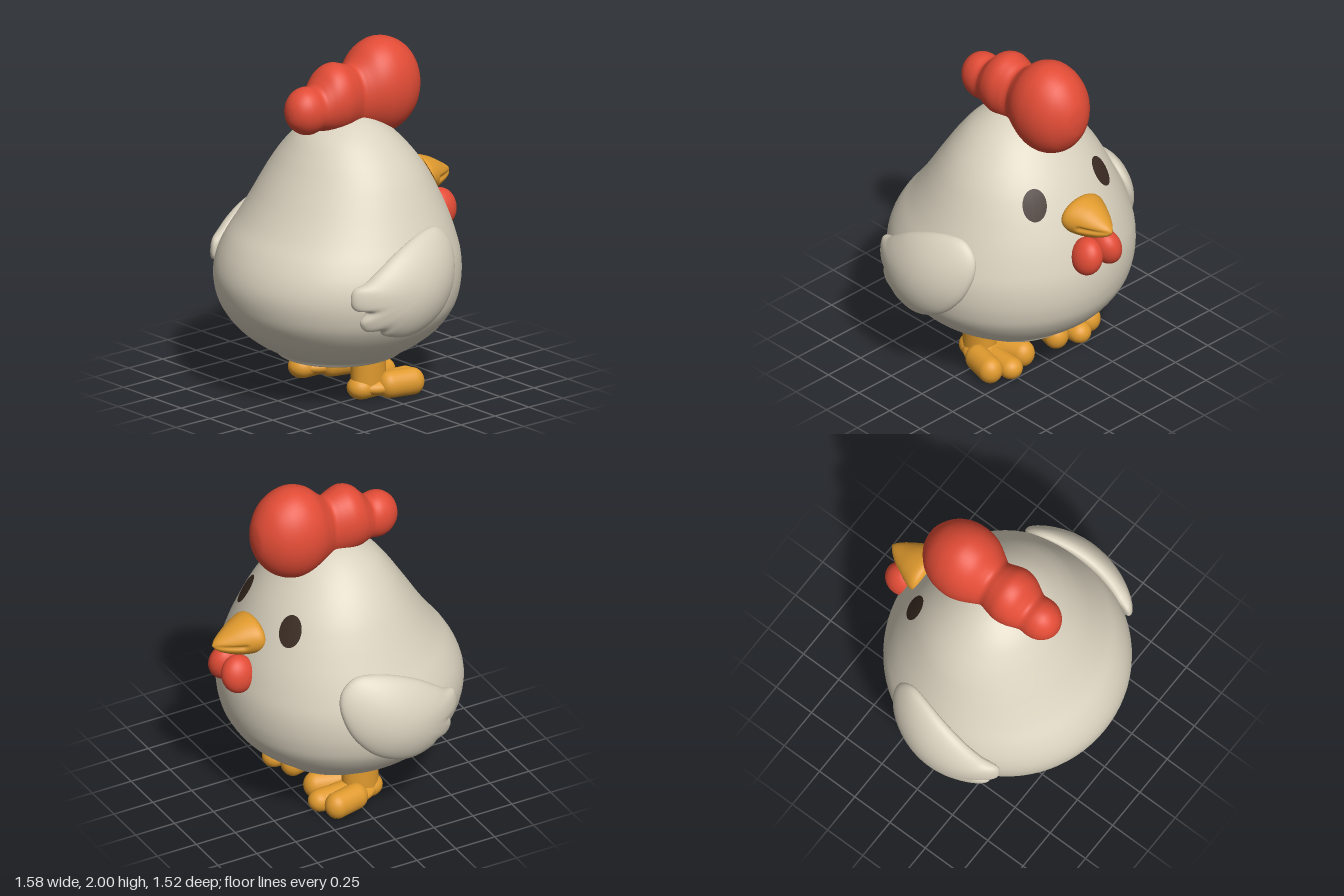
import * as THREE from 'three';
import { mergeVertices } from 'three/addons/utils/BufferGeometryUtils.js';

const V = (x, y, z) => new THREE.Vector3(x, y, z);
const paint = (name, color) => {
  const m = new THREE.MeshStandardMaterial({ color });
  m.name = name;
  return m;
};

// Weld seams and recompute smooth normals
function smooth(geo) {
  geo.deleteAttribute('uv');
  geo.deleteAttribute('normal');
  const g = mergeVertices(geo, 1e-5);
  g.computeVertexNormals();
  return g;
}

// Move every vertex by a rule
function warp(geo, rule) {
  const p = geo.attributes.position;
  const v = V(0, 0, 0);
  for (let i = 0; i < p.count; i++) {
    v.fromBufferAttribute(p, i);
    rule(v, i);
    p.setXYZ(i, v.x, v.y, v.z);
  }
  return geo;
}

// Mirrored copy across x = 0, with the corner order reversed
function mirror(geo) {
  const g = geo.clone().scale(-1, 1, 1);
  const ix = g.index.array;
  for (let i = 0; i < ix.length; i += 3) [ix[i], ix[i + 1]] = [ix[i + 1], ix[i]];
  g.computeVertexNormals();
  return g;
}

// Oval loft along y; each section is [y, half width, lowest z, highest z]
function loft(sections, steps, sides) {
  const outline = new THREE.CatmullRomCurve3(sections.map(([y, r]) => V(r, y, 0)), false, 'catmullrom', 0.5);
  const depth = new THREE.CatmullRomCurve3(sections.map(([, , a, b]) => V(a, b, 0)), false, 'catmullrom', 0.5);
  const pts = [], zs = [];
  for (let i = 0; i <= steps; i++) {
    const p = outline.getPoint(i / steps);
    pts.push(new THREE.Vector2(Math.max(p.x, 0), p.y));
    zs.push(depth.getPoint(i / steps));
  }
  const geo = new THREE.LatheGeometry(pts, sides);
  return warp(geo, (v, i) => {
    const j = i % pts.length, r = pts[j].x, { x: a, y: b } = zs[j];
    v.z = (a + b) / 2 + (r > 1e-6 ? (v.z / r) * (b - a) / 2 : 0);
  });
}

export function createModel() {
  const root = new THREE.Group();
  root.name = 'hen';
  const cream = paint('cream feathers', 0xdad2bf);
  const red = paint('red comb', 0xe24c36);
  const orange = paint('orange beak and feet', 0xe09a2e);
  const brown = paint('dark brown eyes', 0x3a2b22);

  const add = (name, geo, mat) => {
    const mesh = new THREE.Mesh(geo, mat);
    mesh.name = name;
    root.add(mesh);
    return mesh;
  };
  const addPair = (name, geo, mat) => {
    add('left' + name, geo, mat);
    add('right' + name, mirror(geo), mat);
  };
  const ball = (rx, ry, rz) => smooth(new THREE.SphereGeometry(1, 40, 28).scale(rx, ry, rz));

  // Pear-shaped body
  const body = add('body', smooth(loft([
    [0.2, 0, 0.05, 0.05], [0.205, 0.2, -0.16, 0.26], [0.215, 0.33, -0.3, 0.395],
    [0.245, 0.37, -0.33, 0.425], [0.3, 0.47, -0.41, 0.525], [0.39, 0.58, -0.52, 0.635],
    [0.5, 0.66, -0.595, 0.715], [0.6, 0.692, -0.626, 0.75], [0.7, 0.7, -0.636, 0.758],
    [0.8, 0.687, -0.63, 0.733], [0.9, 0.652, -0.607, 0.68], [1.0, 0.607, -0.575, 0.603],
    [1.1, 0.56, -0.533, 0.535], [1.2, 0.512, -0.484, 0.473], [1.3, 0.458, -0.425, 0.41],
    [1.4, 0.385, -0.35, 0.345], [1.5, 0.285, -0.255, 0.265], [1.57, 0.18, -0.155, 0.16],
    [1.605, 0.07, -0.06, 0.06], [1.61, 0, 0, 0],
  ], 100, 80)), cream);

  // Comb: one soft loft with three lobes, shrinking toward the back
  add('comb', smooth(loft([
    [-0.418, 0, 1.67, 1.67], [-0.41, 0.04, 1.62, 1.72], [-0.385, 0.08, 1.58, 1.765],
    [-0.34, 0.11, 1.545, 1.8], [-0.288, 0.12, 1.532, 1.81], [-0.235, 0.118, 1.54, 1.802],
    [-0.2, 0.132, 1.535, 1.835], [-0.15, 0.155, 1.52, 1.888], [-0.085, 0.165, 1.51, 1.91],
    [-0.02, 0.151, 1.51, 1.893], [0.03, 0.138, 1.51, 1.877], [0.07, 0.158, 1.5, 1.903],
    [0.13, 0.192, 1.475, 1.96], [0.19, 0.211, 1.45, 1.99], [0.25, 0.215, 1.44, 2.0],
    [0.32, 0.206, 1.455, 1.985], [0.39, 0.175, 1.495, 1.945], [0.44, 0.13, 1.55, 1.89],
    [0.475, 0.08, 1.615, 1.825], [0.487, 0.04, 1.67, 1.77], [0.491, 0, 1.72, 1.72],
  ], 100, 48).rotateX(-Math.PI / 2)), red);

  // Beak, lofted forward with a mouth crease along both sides
  const beak = loft([
    [0.45, 0, 1.13, 1.13], [0.48, 0.12, 1.05, 1.21], [0.52, 0.147, 1.025, 1.24],
    [0.6, 0.117, 1.026, 1.22], [0.68, 0.074, 1.05, 1.176], [0.735, 0.034, 1.08, 1.14],
    [0.76, 0, 1.112, 1.112],
  ], 40, 64).rotateX(-Math.PI / 2);
  warp(beak, (v) => {
    const off = (v.y - 1.112) / 0.012;
    if (v.z < -0.6) v.x *= 1 - 0.16 * Math.exp(-off * off);
  });
  add('beak', smooth(beak), orange);

  // Wattles under the beak
  addPair('Wattle', ball(0.08, 0.112, 0.1).rotateZ(0.25).translate(0.074, 0.93, -0.633), red);

  // Eyes: thin oval patches laid onto the body surface
  const normal = V(0.57, 0.48, -0.84).normalize();
  const sideways = V(0, 1, 0).cross(normal).normalize();
  const upward = normal.clone().cross(sideways);
  const ray = new THREE.Raycaster();
  body.updateMatrixWorld(true);
  const eye = warp(new THREE.RingGeometry(0.001, 1, 36, 5), (v) => {
    const start = V(0.257, 1.24, -0.4).addScaledVector(sideways, v.x * 0.07)
      .addScaledVector(upward, v.y * 0.094).addScaledVector(normal, 0.4);
    ray.set(start, normal.clone().negate());
    const hit = ray.intersectObject(body)[0];
    v.copy(hit ? hit.point : start.addScaledVector(normal, -0.4)).addScaledVector(normal, 0.006);
  });
  addPair('Eye', smooth(eye), brown);

  // Wings: a scalloped outline [z, y] puffed out and curved around the body
  const outline = new THREE.CatmullRomCurve3([
    [0.47, 0.72], [0.455, 0.79], [0.385, 0.825], [0.32, 0.875], [0.2, 0.955], [0.06, 1.015],
    [-0.07, 1.043], [-0.17, 1.035], [-0.245, 0.97], [-0.27, 0.88], [-0.25, 0.77], [-0.2, 0.67],
    [-0.1, 0.565], [0.04, 0.495], [0.16, 0.477], [0.28, 0.505], [0.31, 0.54], [0.39, 0.545],
    [0.42, 0.6], [0.385, 0.66], [0.45, 0.675],
  ].map(([z, y]) => V(0, y, z)), true, 'catmullrom', 0.5);
  const centre = V(0, 0.76, 0.08);
  const wing = warp(new THREE.SphereGeometry(1, 96, 32).rotateZ(-Math.PI / 2), (v) => {
    const t = Math.atan2(v.y, v.z) / (2 * Math.PI) + 2;
    const r = Math.hypot(v.y, v.z);
    // scallops fade into a plain oval toward the middle
    const plain = V(0, 0, 0);
    for (const d of [-0.08, -0.04, 0, 0.04, 0.08]) plain.addScaledVector(outline.getPoint((t + d) % 1), 0.2);
    const p = plain.lerp(outline.getPoint(t % 1), r ** 4).sub(centre).multiplyScalar(r);
    const puff = Math.sign(v.x) * Math.abs(v.x) ** 0.8 * 0.08;
    v.set(0.71 + puff - 0.7 * p.z * p.z - 0.7 * p.y * p.y - 0.1 * p.y, centre.y + p.y, centre.z + p.z);
  });
  addPair('Wing', smooth(wing), cream);

  // Legs
  addPair('Leg', new THREE.CylinderGeometry(1, 1, 0.2, 32).scale(0.085, 1, 0.108).translate(0.255, 0.14, 0.05), orange);

  // Feet: three spread toes and a heel around a soft sole, flat underneath
  const toe = (from, to, r, stretch) => {
    const dir = to.clone().sub(from);
    const g = new THREE.CapsuleGeometry(r, dir.length(), 10, 24, 4);
    g.applyQuaternion(new THREE.Quaternion().setFromUnitVectors(V(0, 1, 0), dir.clone().normalize()));
    g.scale(1, stretch, 1).translate((from.x + to.x) / 2, r * stretch - 0.004, (from.z + to.z) / 2);
    return smooth(warp(g, (v) => { v.y = Math.max(v.y, 0.004); }));
  };
  [
    ['InnerToe', V(0.165, 0, -0.03), V(0.131, 0, -0.165), 0.071, 1.12],
    ['MiddleToe', V(0.255, 0, -0.02), V(0.265, 0, -0.213), 0.068, 0.95],
    ['OuterToe', V(0.345, 0, -0.03), V(0.379, 0, -0.165), 0.071, 1.12],
    ['Heel', V(0.255, 0, 0.105), V(0.255, 0, -0.03), 0.08, 0.85],
  ].forEach(([name, ...shape]) => addPair(name, toe(...shape), orange));
  addPair('Sole', ball(0.13, 0.06, 0.16).translate(0.255, 0.064, -0.02), orange);

  return root;
}
